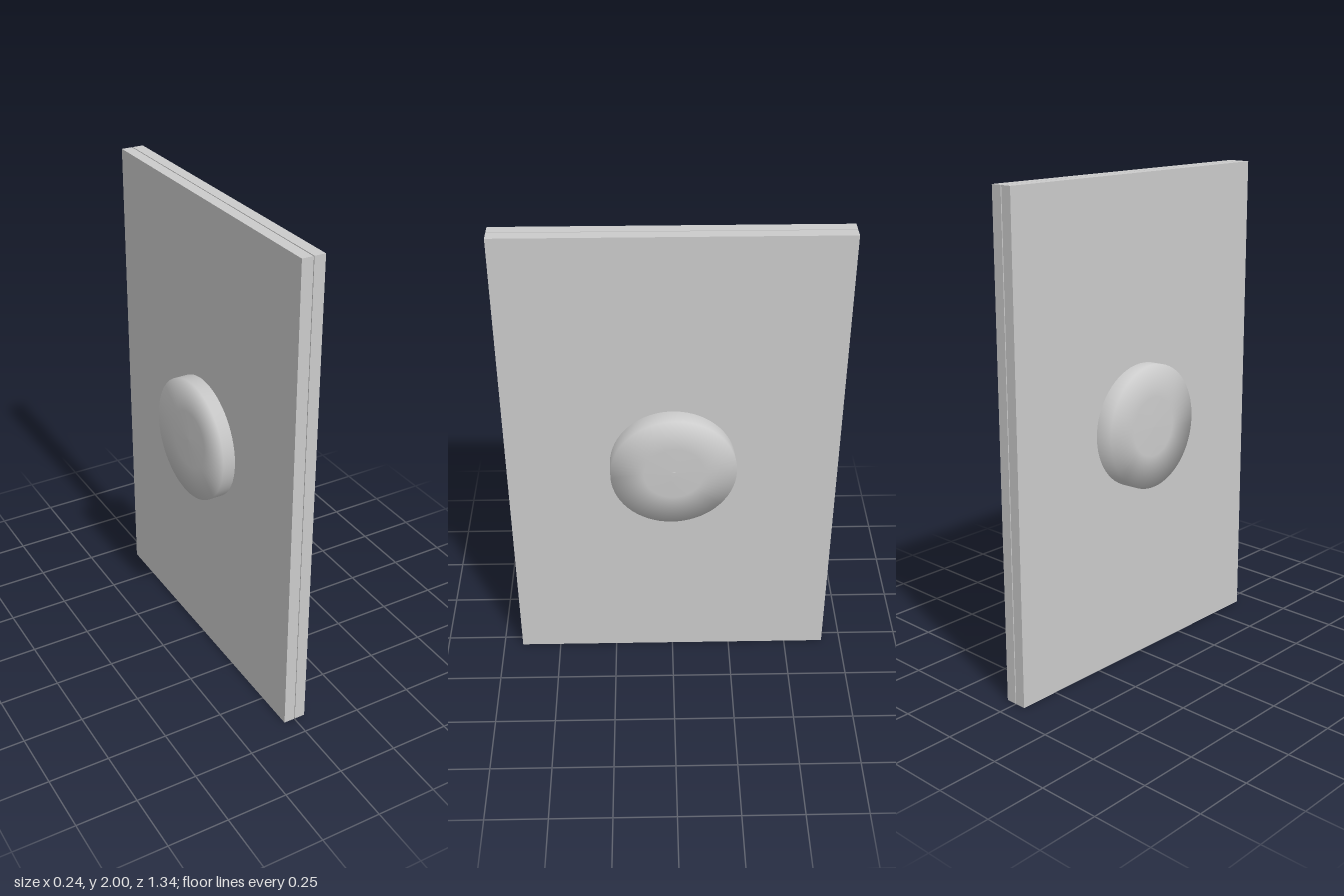
import * as THREE from 'three';

const material = new THREE.MeshStandardMaterial({ color: 0xcccccc });

function part(name, geometry, parent) {
  const mesh = new THREE.Mesh(geometry, material);
  mesh.name = name;
  parent.add(mesh);
  return mesh;
}

export function createModel() {
  const model = new THREE.Group();
  model.name = 'panelWithDisc';

  const height = 2, depth = 1.336, half = 0.047, seam = 0.002;

  // Two thin slabs back to back, with a hairline seam around the edge
  const panel = new THREE.Group();
  panel.name = 'panel';
  panel.position.y = height / 2;
  model.add(panel);
  for (const side of [-1, 1]) {
    const slab = part(side > 0 ? 'leftSlab' : 'rightSlab',
      new THREE.BoxGeometry(half - seam, height, depth), panel);
    slab.position.x = side * (half + seam) / 2;
  }
  part('panelCore', new THREE.BoxGeometry(half, height - 0.008, depth - 0.008), panel);

  // Slightly tilted disc through the panel, with softly shaded, barely domed ends
  const disc = new THREE.Group();
  disc.name = 'disc';
  disc.position.y = height / 2;
  disc.quaternion.setFromUnitVectors(
    new THREE.Vector3(0, 1, 0),
    new THREE.Vector3(1, -0.025, -0.038).normalize());
  model.add(disc);

  const profile = [
    [0, -0.117], [0.12, -0.115], [0.253, -0.11],
    [0.253, 0.11], [0.12, 0.115], [0, 0.117],
  ].map(([r, y]) => new THREE.Vector2(r, y));
  part('discBody', new THREE.LatheGeometry(profile, 64), disc);

  // Small pin at the centre of one end
  const pin = part('centrePin', new THREE.CylinderGeometry(0.012, 0.012, 0.01, 16), disc);
  pin.position.y = 0.114;

  return model;
}
